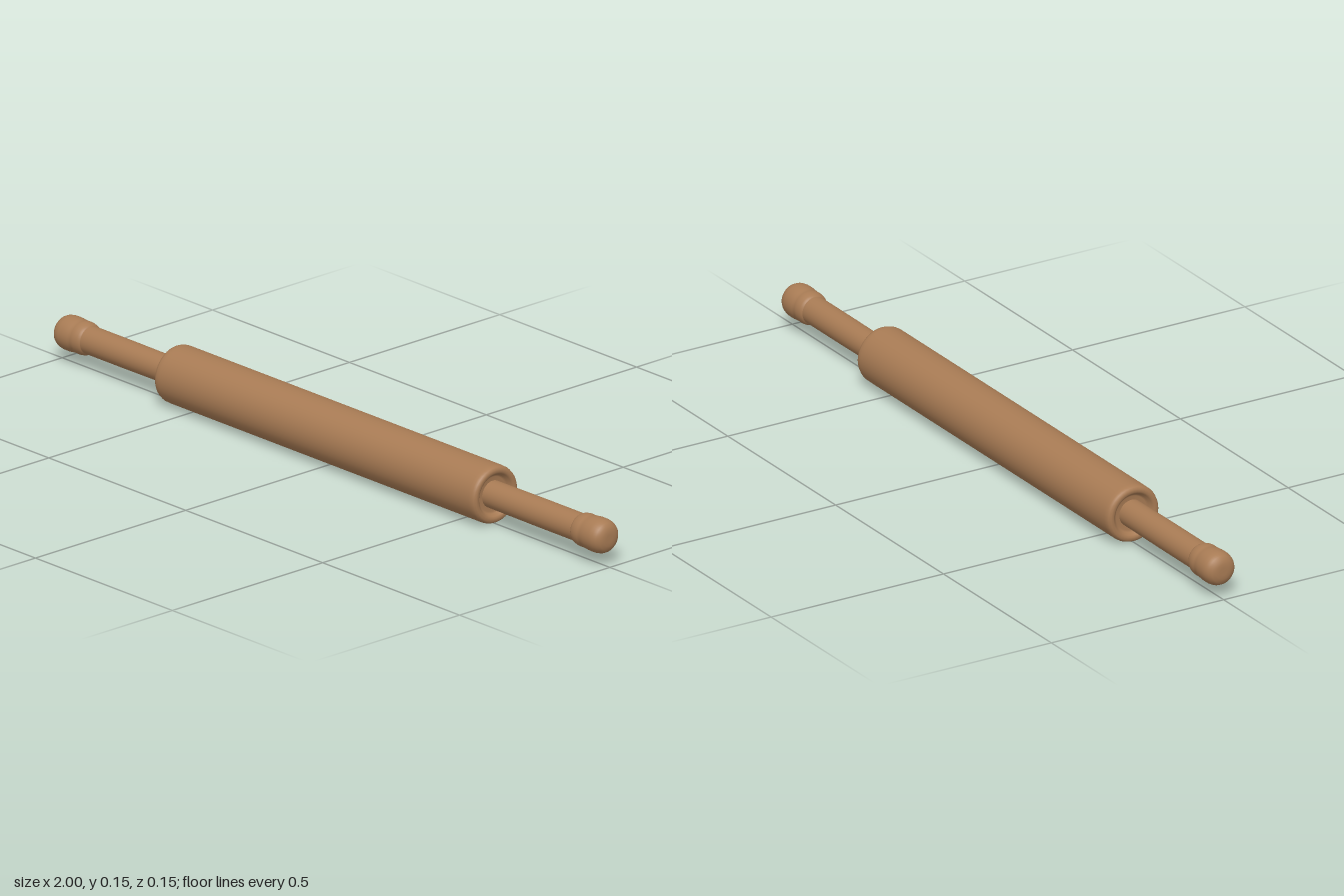
import * as THREE from 'three';

const AXIS_Y = 0.075;

// Turned part: profile pairs are [distance along the axis, radius], in increasing distance
function turned(name, profile, material, side = 1) {
  const points = profile.map(([x, r]) => new THREE.Vector2(r, x));
  const geometry = new THREE.LatheGeometry(points, 40);
  geometry.rotateZ(-side * Math.PI / 2);
  const mesh = new THREE.Mesh(geometry, material);
  mesh.name = name;
  return mesh;
}

export function createModel() {
  const wood = new THREE.MeshStandardMaterial({ color: 0xa87b54 });
  wood.name = 'wood';

  const model = new THREE.Group();
  model.name = 'rollingPin';
  const pin = new THREE.Group();
  pin.name = 'pin';
  pin.position.y = AXIS_Y;
  model.add(pin);

  // Roller with rounded rims and shallow dished ends
  const rim = [
    [0.565, 0.075], [0.575, 0.0745], [0.582, 0.072], [0.586, 0.067],
    [0.586, 0.060], [0.583, 0.055], [0.575, 0.050], [0.572, 0.045], [0.572, 0.03],
  ];
  const otherRim = rim.map(([x, r]) => [-x, r]).reverse();
  pin.add(turned('roller', [...otherRim, [-0.55, 0.075], [0.55, 0.075], ...rim], wood));

  // Handle shaft and end knob, repeated on both sides
  for (const side of [1, -1]) {
    const prefix = side > 0 ? 'left' : 'right';
    pin.add(turned(prefix + 'Handle', [
      [0.56, 0.035], [0.75, 0.036], [0.91, 0.036],
    ], wood, side));
    pin.add(turned(prefix + 'Knob', [
      [0.894, 0.034], [0.897, 0.038], [0.903, 0.041], [0.915, 0.043],
      [0.925, 0.0425], [0.93, 0.0415], [0.936, 0.043], [0.95, 0.0445],
      [0.968, 0.0445], [0.98, 0.0425], [0.989, 0.038], [0.996, 0.031],
      [0.9995, 0.02], [1.0, 0.01], [1.0, 0],
    ], wood, side));
  }

  return model;
}
